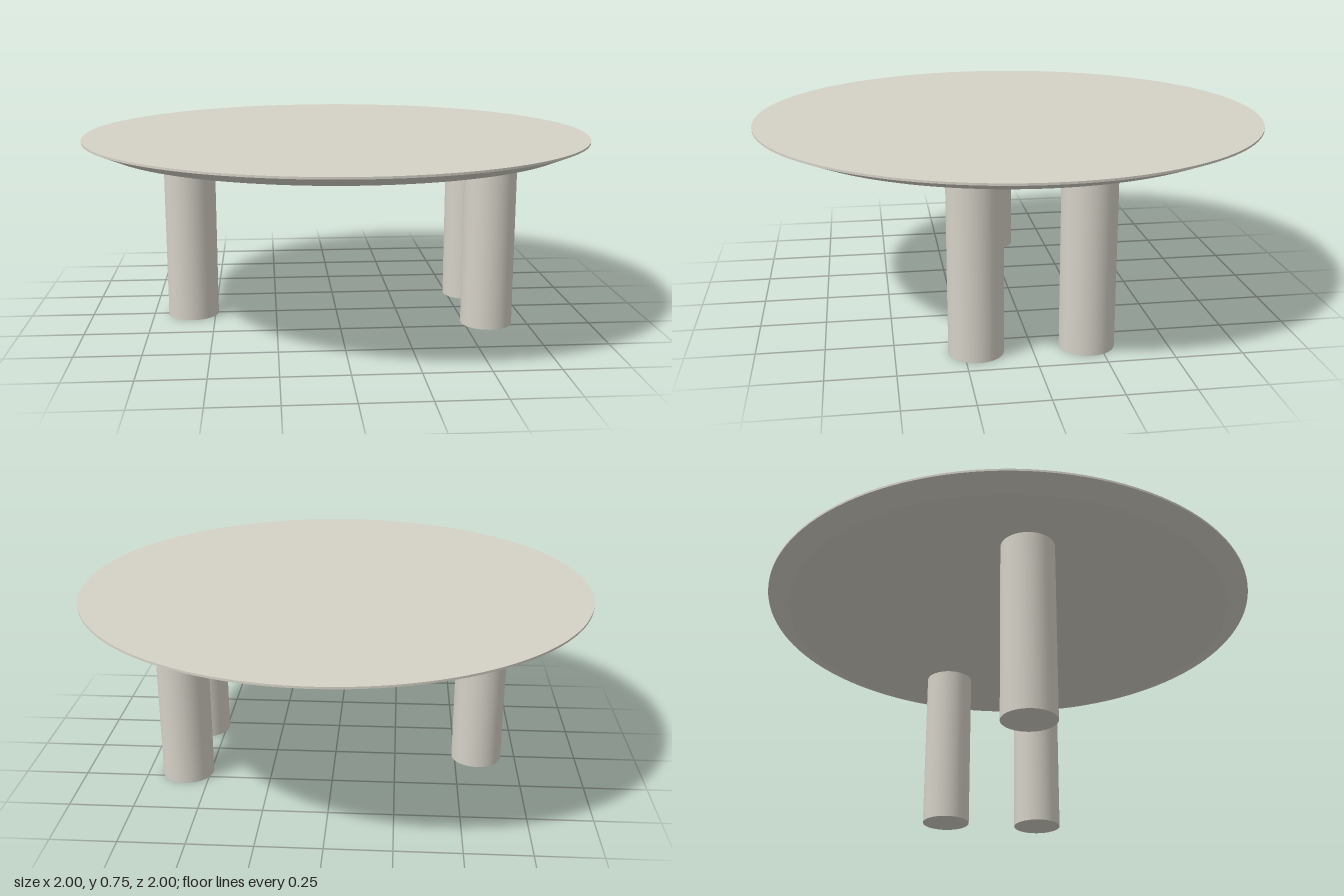
import * as THREE from 'three';
import { mergeGeometries } from 'three/addons/utils/BufferGeometryUtils.js';

const UNDERSIDE = 0.703;
const TOP = 0.747;

// Lathe each profile edge separately so the edges between bands stay sharp
function sharpLathe(profile, segments) {
  const bands = [];
  for (let i = 0; i < profile.length - 1; i++) {
    const edge = [profile[i], profile[i + 1]].map(([r, y]) => new THREE.Vector2(r, y));
    bands.push(new THREE.LatheGeometry(edge, segments));
  }
  return mergeGeometries(bands);
}

export function createModel() {
  const table = new THREE.Group();
  table.name = 'roundTable';

  const stone = new THREE.MeshStandardMaterial({ color: 0xd5d1c7 });
  stone.name = 'warm grey stone';

  // Round top: flat underside, undercut bevel, thin upright rim, flat face
  const top = new THREE.Mesh(
    sharpLathe([[0, UNDERSIDE], [0.915, UNDERSIDE], [1, 0.739], [1, TOP], [0, TOP]], 128),
    stone
  );
  top.name = 'tableTop';
  table.add(top);

  // Three cylindrical legs: a pair on the left, a single one on the right
  const legGeometry = new THREE.CylinderGeometry(0.102, 0.102, UNDERSIDE, 48);
  const legs = [
    ['frontLeftLeg', 0.59, 0.205],
    ['backLeftLeg', 0.59, -0.205],
    ['rightLeg', -0.59, 0],
  ];
  for (const [name, x, z] of legs) {
    const leg = new THREE.Mesh(legGeometry, stone);
    leg.name = name;
    leg.position.set(x, UNDERSIDE / 2, z);
    table.add(leg);
  }

  return table;
}
